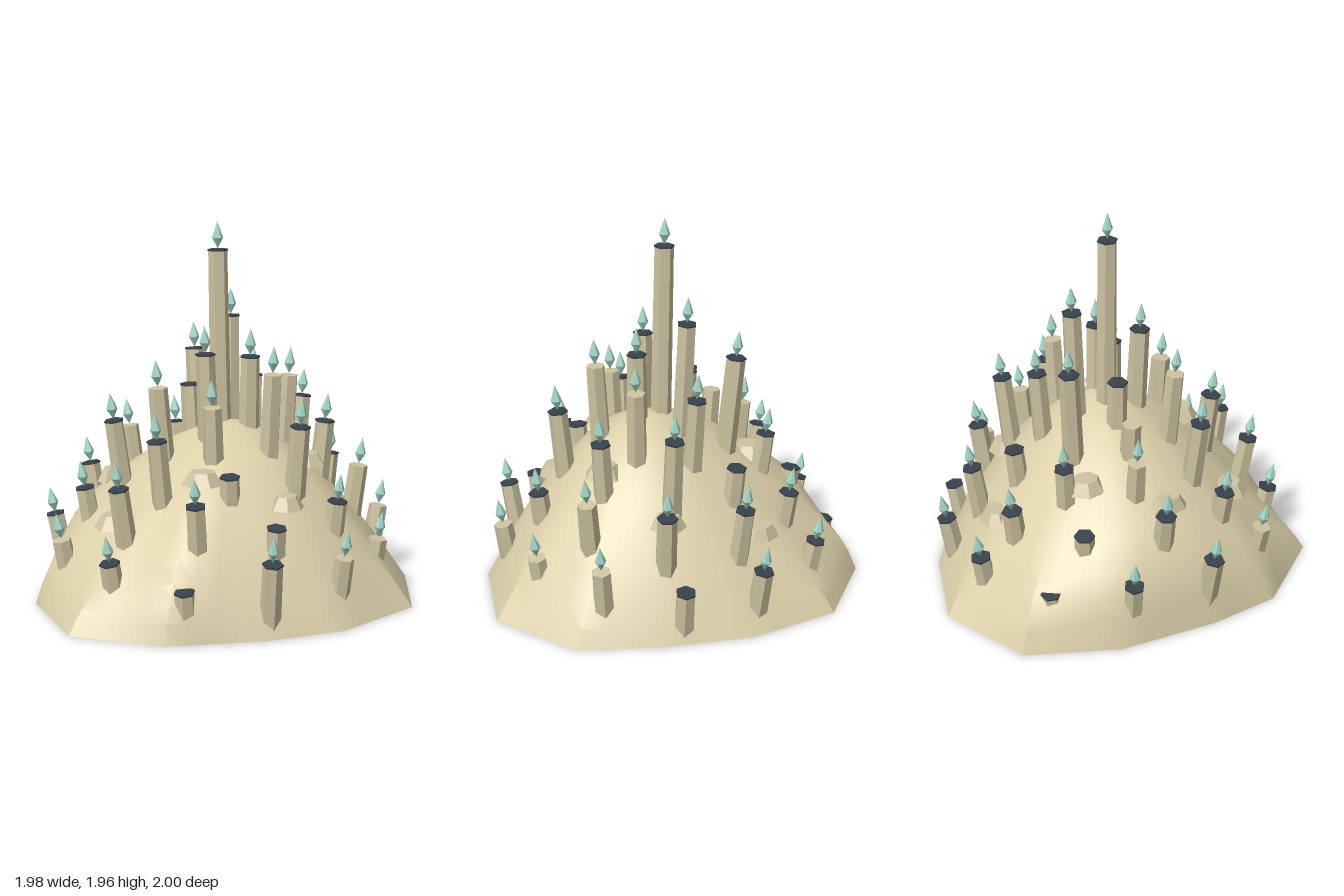
import * as THREE from 'three';
import { mergeVertices, toCreasedNormals } from 'three/addons/utils/BufferGeometryUtils.js';

const mat = (name, color, extra = {}) => new THREE.MeshStandardMaterial({ name, color, ...extra });

// Outline of the mound's foot, as x, z corners
const RIM = [
  [0.99, 0], [0.76, 0.45], [0.44, 0.72], [0.01, 0.96], [-0.49, 0.995], [-0.86, 0.64], [-0.95, 0.27],
  [-0.99, -0.25], [-0.87, -0.73], [-0.44, -1], [0.04, -0.93], [0.44, -0.74], [0.83, -0.48],
];

// Distance from the centre to the rim in the direction of x, z
function rimRadius(x, z) {
  const r = Math.hypot(x, z) || 1, ux = x / r, uz = z / r;
  for (let i = 0; i < RIM.length; i++) {
    const [ax, az] = RIM[i], [bx, bz] = RIM[(i + 1) % RIM.length];
    if (ax * uz - az * ux >= -1e-9 && ux * bz - uz * bx >= -1e-9) {
      return (ax * bz - az * bx) / (ux * (bz - az) - uz * (bx - ax));
    }
  }
  return 0.95;
}

// Rings change from a circle near the peak to the angular outline at the foot
const ringRadius = (d, rim) => d * (rim + (0.95 - rim) * (1 - d * d));

// Height of the mound: d runs from 0 at the peak to 1 at the rim; steeper at -x and on a front ridge
function moundHeight(d, x, z) {
  const angle = Math.atan2(z, x);
  const k = 0.35 * ((1 - Math.cos(angle)) / 2) ** 6 + 0.17 * Math.exp(-(((angle - 1.5) / 0.28) ** 2));
  return 0.92 * (1 - (1 - k) * d ** 1.6 - k * d ** 20);
}
function surfaceAt(x, z) {
  const rim = rimRadius(x, z), r = Math.hypot(x, z);
  let lo = 0, hi = 1;
  for (let i = 0; i < 20; i++) {
    const mid = (lo + hi) / 2;
    if (ringRadius(mid, rim) < r) lo = mid; else hi = mid;
  }
  return moundHeight(lo, x, z);
}

function moundGeometry() {
  const foot = [];
  RIM.forEach(([x, z], i) => {
    const [nx, nz] = RIM[(i + 1) % RIM.length];
    for (let s = 0; s < 4; s++) foot.push([x + (nx - x) * s / 4, z + (nz - z) * s / 4]);
  });
  const steps = [0, 0.08, 0.16, 0.26, 0.37, 0.48, 0.59, 0.7, 0.8, 0.88, 0.94, 0.97, 1];
  const n = foot.length, pos = [], index = [];
  for (const d of steps) for (const [x, z] of foot) {
    const r = Math.hypot(x, z), s = ringRadius(d, r) / r;
    pos.push(x * s, moundHeight(d, x, z), z * s);
  }
  for (let j = 0; j < steps.length - 1; j++) for (let i = 0; i < n; i++) {
    const a = j * n + i, b = j * n + (i + 1) % n;
    if (j > 0) index.push(a, b, a + n);
    index.push(b, b + n, a + n);
  }
  const g = new THREE.BufferGeometry();
  g.setAttribute('position', new THREE.Float32BufferAttribute(pos, 3));
  g.setIndex(index);
  return toCreasedNormals(mergeVertices(g), 0.5);
}

// Columns: x, z, height of the top
const LIT_CAPPED = [
  [-0.09, -0.01, 1.81], [-0.09, -0.2, 1.44], [-0.09, 0.17, 1.29], [0.09, -0.01, 1.26], [-0.02, -0.37, 1.09],
  [-0.34, -0.3, 1.23], [-0.49, -0.38, 0.79], [0.22, -0.49, 0.97], [0.35, -0.6, 0.63], [-0.04, -0.74, 0.61],
  [-0.04, -0.89, 0.33], [-0.43, -0.64, 0.56], [-0.46, -0.82, 0.34], [0.45, -0.18, 0.91], [0.62, 0.14, 0.57],
  [-0.54, 0.33, 0.94], [-0.21, 0.53, 0.9], [-0.35, 0.69, 0.68], [0.07, 0.71, 0.64], [0.46, 0.68, 0.38],
  [-0.34, 0.83, 0.34], [-0.67, 0.42, 0.59], [-0.82, 0.04, 0.62], [-0.94, -0.17, 0.33], [-0.93, 0.26, 0.38],
  [0.44, 0.21, 0.96],
];
const LIT_PLAIN = [
  [-0.62, -0.04, 0.83], [0.67, -0.48, 0.39], [0.61, -0.28, 0.66], [0.24, -0.2, 1.14], [0.78, -0.07, 0.33],
  [0.72, 0.34, 0.34], [0.26, 0.12, 1.2], [0.01, 0.33, 1.05], [-0.31, 0.28, 1.12], [-0.71, 0.62, 0.36],
];
const CAPPED = [
  [-0.71, -0.35, 0.52], [-0.15, -0.54, 0.74], [0.35, -0.75, 0.28], [-0.25, -0.01, 1.09],
  [0.15, 0.45, 0.73], [0.41, 0.48, 0.5], [-0.78, -0.55, 0.27], [0.07, 0.86, 0.25],
];
const PLAIN = [[-0.43, 0, 0.94]];

// Rocks: x, z, half width, half depth, turn
const ROCKS = [
  [-0.21, -0.67, 0.11, 0.08, 0.3], [-0.47, -0.26, 0.1, 0.11, 1], [-0.66, 0.11, 0.07, 0.11, 0.2],
  [-0.45, 0.54, 0.1, 0.11, 0.7], [0, 0.44, 0.11, 0.1, 1.6], [0.4, 0.3, 0.09, 0.1, 2.2],
  [0.37, -0.1, 0.11, 0.1, 0.5], [0.25, -0.48, 0.1, 0.09, 1.3],
];

export function createModel() {
  const model = new THREE.Group();
  model.name = 'columnMound';
  const sand = mat('sand', 0xdbcfa9);
  const stone = mat('stone', 0xcfc4a2, { flatShading: true });
  const slate = mat('slate', 0x38424b, { flatShading: true });
  const crystal = mat('crystal', 0xa3d6c8, { flatShading: true });

  const add = (parent, name, geometry, material) => {
    const mesh = new THREE.Mesh(geometry, material);
    mesh.name = name;
    parent.add(mesh);
    return mesh;
  };

  add(model, 'mound', moundGeometry(), sand);
  // Flat underside
  const base = new THREE.ShapeGeometry(new THREE.Shape(RIM.map(([x, z]) => new THREE.Vector2(x, z))));
  add(model, 'underside', base.rotateX(Math.PI / 2), sand);

  const capGeometry = new THREE.CylinderGeometry(0.053, 0.053, 0.009, 6);
  // Pointed six-sided crystal
  const crystalGeometry = new THREE.LatheGeometry(
    [[0, 0], [0.029, 0.055], [0, 0.14]].map(([x, y]) => new THREE.Vector2(x, y)), 6);
  const up = new THREE.Vector3(0, 1, 0);

  let count = 0;
  function column([x, z, top], capped, lit) {
    const group = new THREE.Group();
    group.name = 'column';
    // Columns lean outwards, more so further from the centre
    const lean = new THREE.Vector3(x * 0.2, 1, z * 0.2).normalize();
    const foot = Math.max(0.03, Math.min(surfaceAt(x, z), top) - 0.12);
    const length = (top - foot) / lean.y;
    group.position.set(x, top, z);
    group.quaternion.setFromUnitVectors(up, lean);
    const shaft = add(group, 'shaft', new THREE.CylinderGeometry(0.05, 0.056, length, 6), stone);
    shaft.position.y = -length / 2;
    shaft.rotation.y = (count++ * 0.37) % 1.05;
    if (capped) add(group, 'cap', capGeometry, slate).rotation.y = shaft.rotation.y;
    if (lit) add(group, 'crystal', crystalGeometry, crystal).position.y = 0.008;
    model.add(group);
  }
  LIT_CAPPED.forEach((c) => column(c, true, true));
  LIT_PLAIN.forEach((c) => column(c, false, true));
  CAPPED.forEach((c) => column(c, true, false));
  PLAIN.forEach((c) => column(c, false, false));

  // Flat-bottomed rocks with sloping sides
  const rockGeometry = new THREE.CylinderGeometry(0.6, 1, 1, 7);
  for (const [x, z, w, d, turn] of ROCKS) {
    const rock = add(model, 'rock', rockGeometry.clone().rotateY(turn), stone);
    rock.position.set(x, surfaceAt(x, z) + 0.015, z);
    rock.scale.set(w, 0.065, d);
  }
  return model;
}
